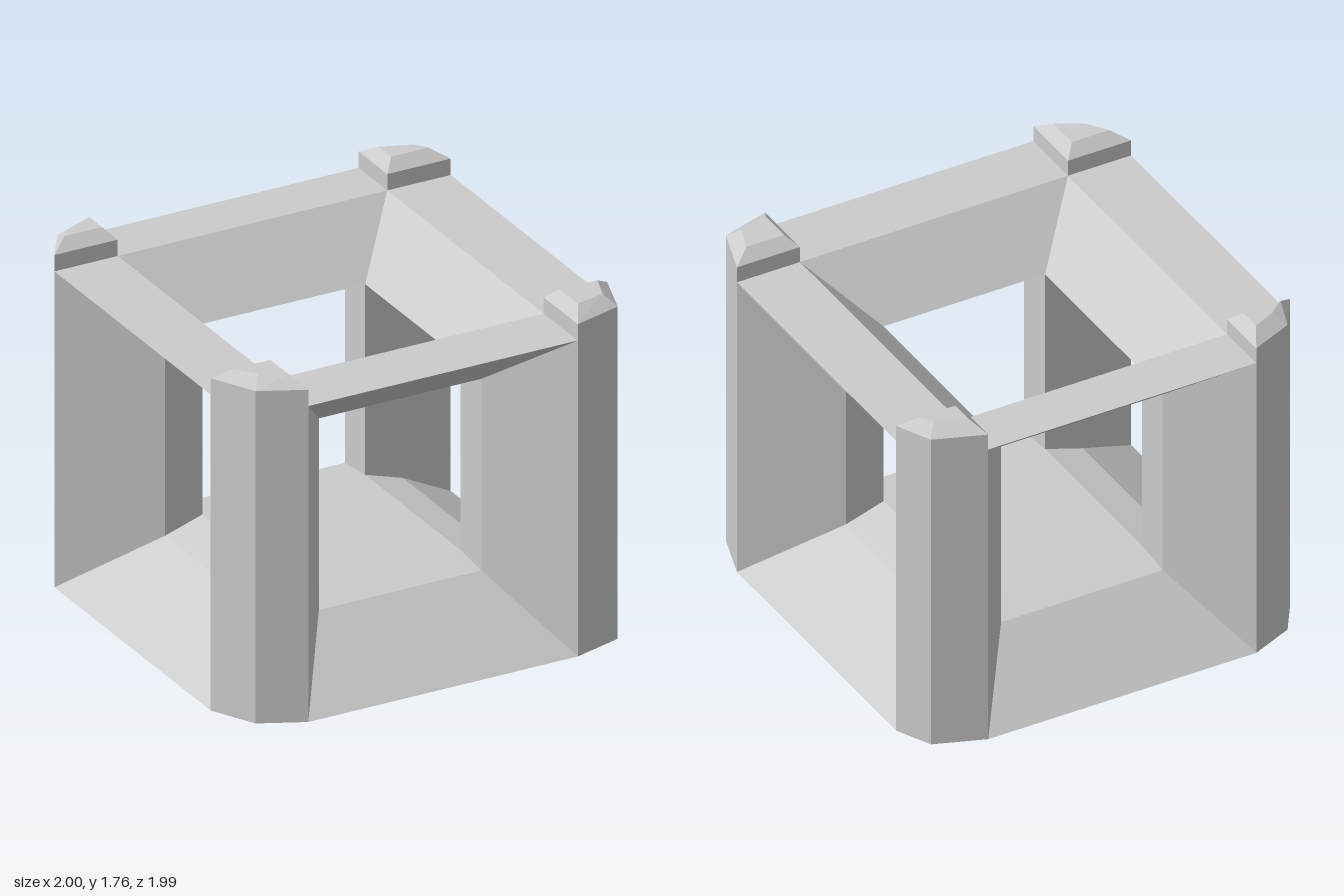
import * as THREE from 'three';
import { ConvexGeometry } from 'three/addons/geometries/ConvexGeometry.js';

const material = new THREE.MeshStandardMaterial({ color: 0xcccccc, flatShading: true });

// Depths of the front and back: outer face, opening, reveal, inner edge
const FRONT = { face: 0.99, open: 0.68, reveal: 0.6, inner: 0.41 };
const BACK = { face: -1, open: -0.74, reveal: -0.64, inner: -0.455 };

// Convex solid from corner points
function solid(name, points) {
  const geometry = new ConvexGeometry(points.map((p) => new THREE.Vector3(...p)));
  const mesh = new THREE.Mesh(geometry, material);
  mesh.name = name;
  return mesh;
}

// Corner post whose inside narrows to the window reveals
function post(sx, d, cx, cz) {
  const outer = [[0.68, d.face], [cx, cz], [1, d.open]];
  const inner = [[0.6, d.inner, 1.3], [0.41, d.inner, 1.355], [0.41, d.reveal, 1.34]];
  const points = [[sx * 0.68, 1.63, d.open]];
  for (const [x, z] of outer) points.push([sx * x, 0.08, z], [sx * x, 1.63, z]);
  for (const [x, z, top] of inner) points.push([sx * x, 0.08, z], [sx * x, top, z]);
  return solid('cornerPost', points);
}

// Chamfered cap standing on a post
function cap(sx, d, cx, cz) {
  const s = Math.sign(cz);
  const foot = [[0.68, d.open], [0.68, d.face], [cx, cz], [1, d.open]];
  const top = [[0.73, d.open + s * 0.055], [0.73, d.face - s * 0.09],
    [cx - 0.045, cz - s * 0.055], [0.92, d.open + s * 0.055]];
  const points = [];
  for (const [x, z] of foot) points.push([sx * x, 1.6, z], [sx * x, 1.71, z]);
  for (const [x, z] of top) points.push([sx * x, 1.76, z]);
  return solid('postCap', points);
}

export function createModel() {
  const model = new THREE.Group();
  model.name = 'openCubeFrame';

  // Base with sloping sills and a flat floor
  const base = [];
  for (const sx of [-1, 1]) {
    for (const d of [FRONT, BACK]) {
      base.push(
        [sx * 0.68, 0.08, d.face], [sx, 0.08, d.open],
        [sx * 0.41, 0.4, d.reveal], [sx * 0.6, 0.36, d.inner], [sx * 0.41, 0.42, d.inner],
      );
    }
  }
  model.add(solid('base', base));

  // Tapered foot under the base
  const foot = [];
  for (const sx of [-1, 1]) {
    foot.push([sx * 0.68, 0.08, 0.68], [sx * 0.68, 0.08, -0.74]);
    foot.push([sx * 0.6, 0, 0.59], [sx * 0.6, 0, -0.65]);
  }
  model.add(solid('foot', foot));

  // Posts and caps; the outer corner differs a little on each side
  for (const sx of [-1, 1]) {
    for (const d of [FRONT, BACK]) {
      const cx = sx > 0 ? 0.92 : 0.89;
      const cz = d === BACK ? -0.91 : sx > 0 ? 0.92 : 0.89;
      model.add(post(sx, d, cx, cz), cap(sx, d, cx, cz));
    }
  }

  // Front and back top rails
  for (const d of [FRONT, BACK]) {
    const points = [];
    for (const sx of [-1, 1]) {
      points.push([sx * 0.68, 1.63, d.face], [sx * 0.68, 1.63, d.open],
        [sx * 0.41, 1.34, d.reveal], [sx * 0.41, 1.355, d.inner]);
    }
    model.add(solid(d === FRONT ? 'frontRail' : 'backRail', points));
  }

  // Side top rails
  for (const sx of [-1, 1]) {
    const points = [];
    for (const d of [FRONT, BACK]) {
      points.push([sx, 1.63, d.open], [sx * 0.68, 1.63, d.open],
        [sx * 0.6, 1.3, d.inner], [sx * 0.41, 1.355, d.inner]);
    }
    model.add(solid('sideRail', points));
  }

  return model;
}
